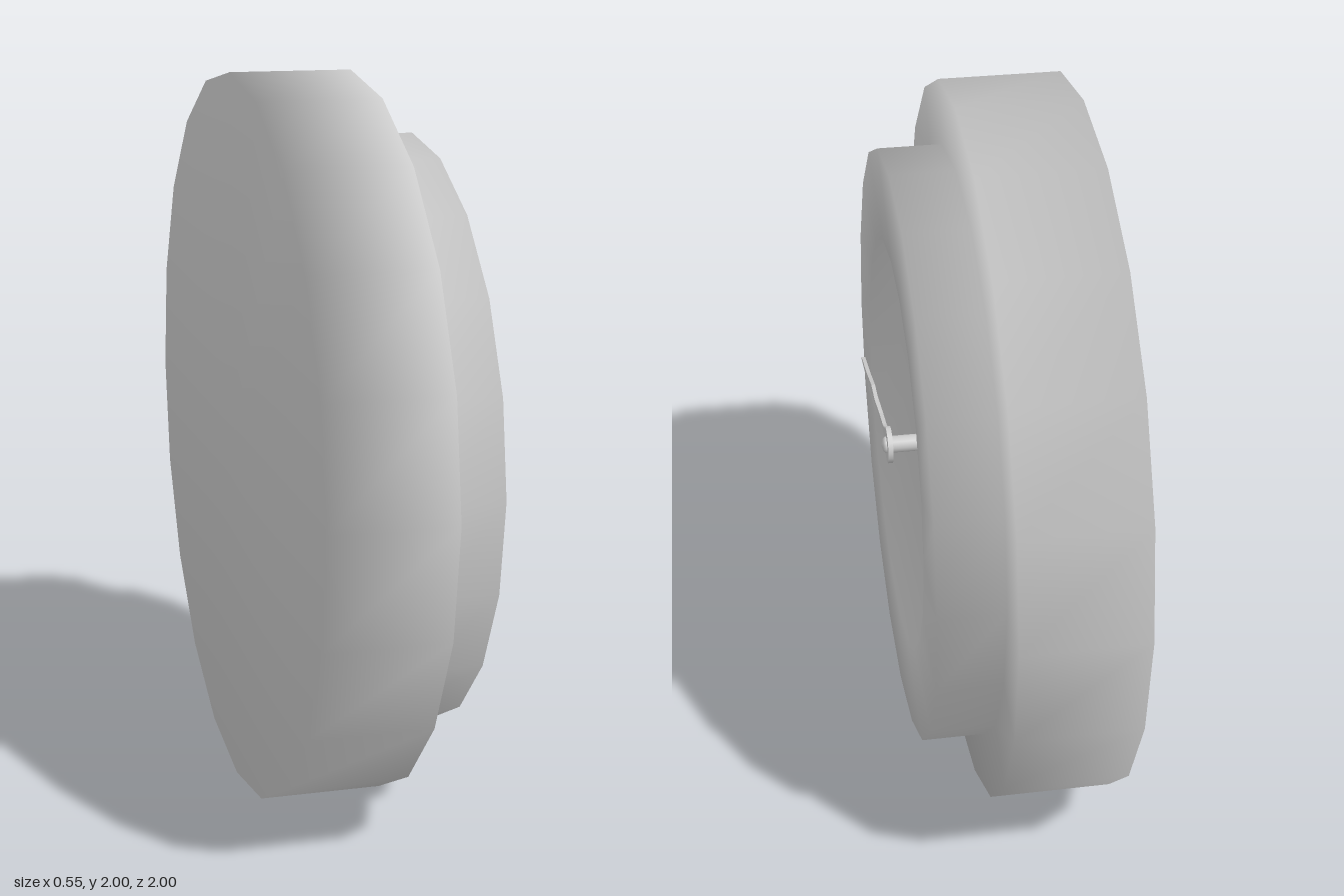
import * as THREE from 'three';

const grey = new THREE.MeshStandardMaterial({ color: 0xcccccc });

function part(name, geometry) {
  const mesh = new THREE.Mesh(geometry, grey);
  mesh.name = name;
  return mesh;
}

// Turns a [radius, x] profile about the x axis; normals stay smooth
function turned(profile, sides) {
  const g = new THREE.LatheGeometry(profile.map(([r, x]) => new THREE.Vector2(r, x)), sides);
  return g.rotateZ(-Math.PI / 2).translate(0, 1, 0);
}

export function createModel() {
  const group = new THREE.Group();
  group.name = 'dialGauge';

  // Twenty-sided case, stepped bezel and recessed dial in one profile
  group.add(part('caseAndDial', turned([
    [0, -0.275], [1, -0.275], [1, 0.06], [0.825, 0.06],
    [0.825, 0.235], [0.575, 0.235], [0.575, 0.14], [0, 0.14],
  ], 20)));

  // Pin rising from the dial, with a slightly domed end
  group.add(part('pin', turned([
    [0.024, 0.135], [0.024, 0.262], [0.017, 0.27], [0, 0.274],
  ], 16)));

  // Needle eye around the pin
  group.add(part('needleHub', turned([
    [0.022, 0.246], [0.052, 0.246], [0.052, 0.246], [0.052, 0.26],
    [0.052, 0.26], [0.022, 0.26],
  ], 20)));

  // Leaf-shaped needle, outlined in [z, y] from the hub
  const upper = [[0.035, 0.035], [0.07, 0.012], [0.11, 0], [0.19, -0.012], [0.27, -0.015], [0.35, -0.013], [0.475, -0.045]];
  const lower = [[0.475, -0.07], [0.35, -0.072], [0.27, -0.053], [0.19, -0.028], [0.11, -0.02], [0.07, -0.024], [0.035, -0.037]];
  const outline = [...upper, [0.612, -0.07], [0.612, -0.077], ...lower];
  const shape = new THREE.Shape(outline.map(([z, y]) => new THREE.Vector2(-z, y)));
  const needle = new THREE.ExtrudeGeometry(shape, { depth: 0.011, bevelEnabled: false });
  needle.rotateY(Math.PI / 2).translate(0.246, 1, 0);
  // Lift the outer half a little away from the dial
  const p = needle.attributes.position;
  for (let i = 0; i < p.count; i++) if (p.getZ(i) > 0.25) p.setX(i, p.getX(i) + 0.004);
  needle.computeVertexNormals();
  group.add(part('needle', needle));

  return group;
}
